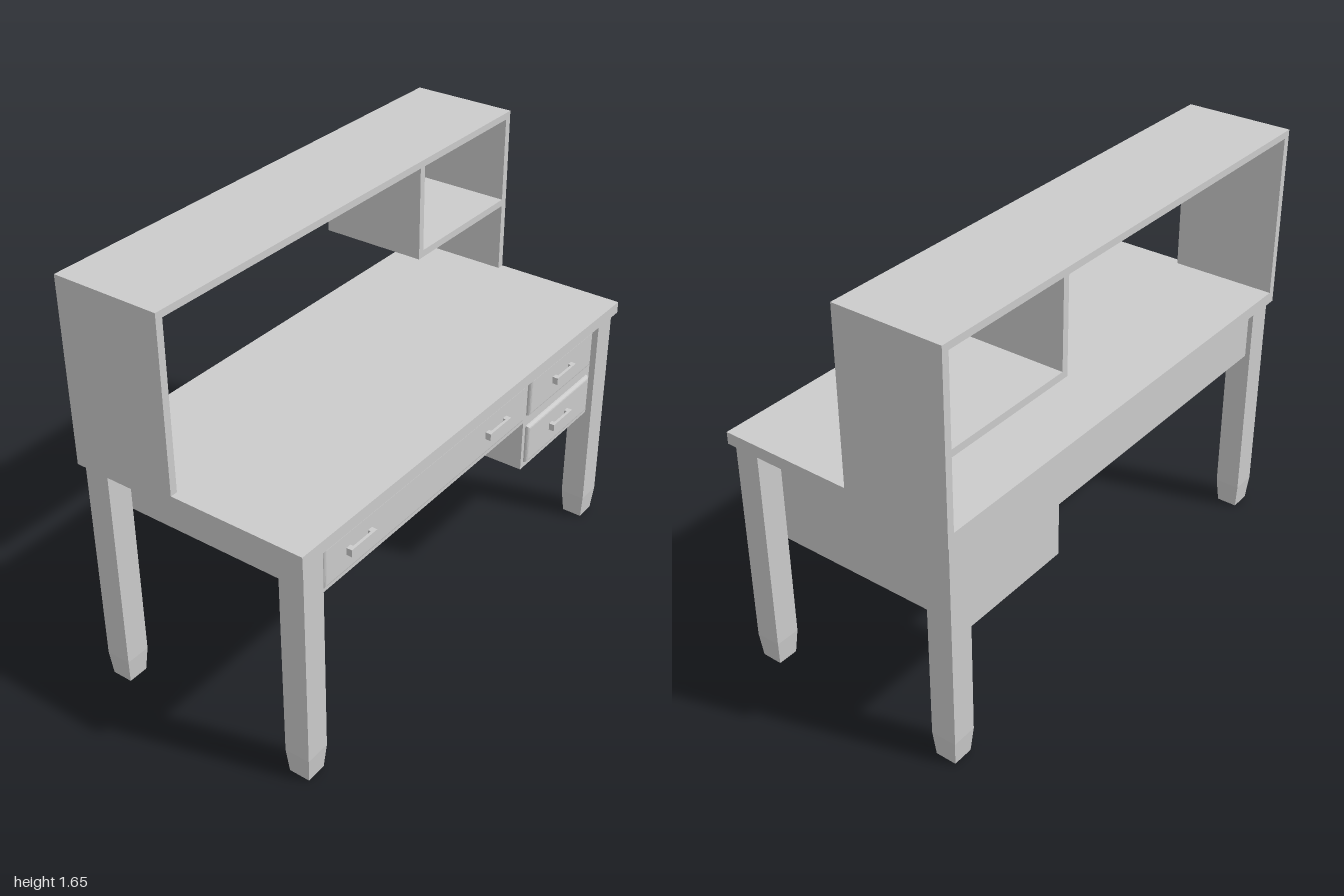
import * as THREE from 'three';

const material = new THREE.MeshStandardMaterial({ color: 0xcccccc });

function add(parent, name, geometry) {
  const mesh = new THREE.Mesh(geometry, material);
  mesh.name = name;
  parent.add(mesh);
  return mesh;
}

// Box given by its minimum and maximum on each axis
function box(parent, name, x0, x1, y0, y1, z0, z1) {
  const mesh = add(parent, name, new THREE.BoxGeometry(x1 - x0, y1 - y0, z1 - z0));
  mesh.position.set((x0 + x1) / 2, (y0 + y1) / 2, (z0 + z1) / 2);
  return mesh;
}

// Square leg whose foot tapers in below y = 0.1
function legGeometry() {
  const geometry = new THREE.BoxGeometry(0.1, 0.94, 0.1, 1, 2, 1).toNonIndexed();
  const p = geometry.attributes.position;
  for (let i = 0; i < p.count; i++) {
    const y = p.getY(i);
    const foot = y < -0.1;
    const inset = foot ? 0.82 : 1;
    p.setXYZ(i, p.getX(i) * inset, foot ? 0 : y > 0.1 ? 0.94 : 0.1, p.getZ(i) * inset);
  }
  geometry.computeVertexNormals();
  return geometry;
}

// Raised drawer front with softened edges
function drawerFront(parent, name, x0, x1, y0, y1) {
  const b = 0.013;
  const shape = new THREE.Shape([
    new THREE.Vector2(x0 + b, y0 + b), new THREE.Vector2(x1 - b, y0 + b),
    new THREE.Vector2(x1 - b, y1 - b), new THREE.Vector2(x0 + b, y1 - b),
  ]);
  const geometry = new THREE.ExtrudeGeometry(shape, {
    depth: 0.01, bevelSize: b, bevelThickness: 0.015, bevelSegments: 4,
  });
  add(parent, name, geometry).position.z = 0.43;
}

// Bar pull on two short posts
function handle(parent, x, y) {
  const group = new THREE.Group();
  group.name = 'handle';
  box(group, 'handleBar', -0.069, 0.069, -0.014, 0.014, 0.466, 0.477);
  for (const s of [-1, 1]) {
    box(group, 'handlePost', s * 0.058 - 0.011, s * 0.058 + 0.011, -0.014, 0.014, 0.45, 0.468);
  }
  group.position.set(x, y, 0);
  parent.add(group);
}

export function createModel() {
  const desk = new THREE.Group();
  desk.name = 'desk';

  box(desk, 'desktop', -1, 1, 0.94, 0.987, -0.48, 0.48);

  // Four legs
  const leg = legGeometry();
  for (const x of [-0.93, 0.93]) {
    for (const z of [-0.415, 0.415]) add(desk, 'leg', leg).position.set(x, 0, z);
  }

  // Stepped drawer case, deeper on the left-hand side
  const outline = new THREE.Shape([
    [-0.88, 0.94], [-0.88, 0.733], [0.375, 0.733], [0.375, 0.522], [0.88, 0.522], [0.88, 0.94],
  ].map(([x, y]) => new THREE.Vector2(x, y)));
  const body = add(desk, 'drawerCase', new THREE.ExtrudeGeometry(outline, { depth: 0.885, bevelEnabled: false }));
  body.position.z = -0.445;

  // Drawers and their pulls
  const drawers = new THREE.Group();
  drawers.name = 'drawers';
  desk.add(drawers);
  drawerFront(drawers, 'wideDrawer', -0.862, 0.356, 0.757, 0.92);
  drawerFront(drawers, 'upperDrawer', 0.394, 0.857, 0.757, 0.92);
  drawerFront(drawers, 'lowerDrawer', 0.394, 0.857, 0.546, 0.71);
  for (const [x, y] of [[-0.677, 0.84], [0.15, 0.84], [0.622, 0.84], [0.622, 0.63]]) handle(drawers, x, y);

  // Open shelf unit standing on the back of the desktop
  const hutch = new THREE.Group();
  hutch.name = 'shelfUnit';
  desk.add(hutch);
  const z0 = -0.48, z1 = -0.055;
  box(hutch, 'topBoard', -1, 1, 1.628, 1.655, z0, z1);
  box(hutch, 'sideBoard', -1, -0.971, 0.987, 1.628, z0, z1);
  box(hutch, 'sideBoard', 0.971, 1, 0.987, 1.628, z0, z1);
  box(hutch, 'shelf', 0.39, 0.971, 1.263, 1.291, z0, z1);
  box(hutch, 'divider', 0.39, 0.417, 1.291, 1.628, z0, z1);

  return desk;
}
